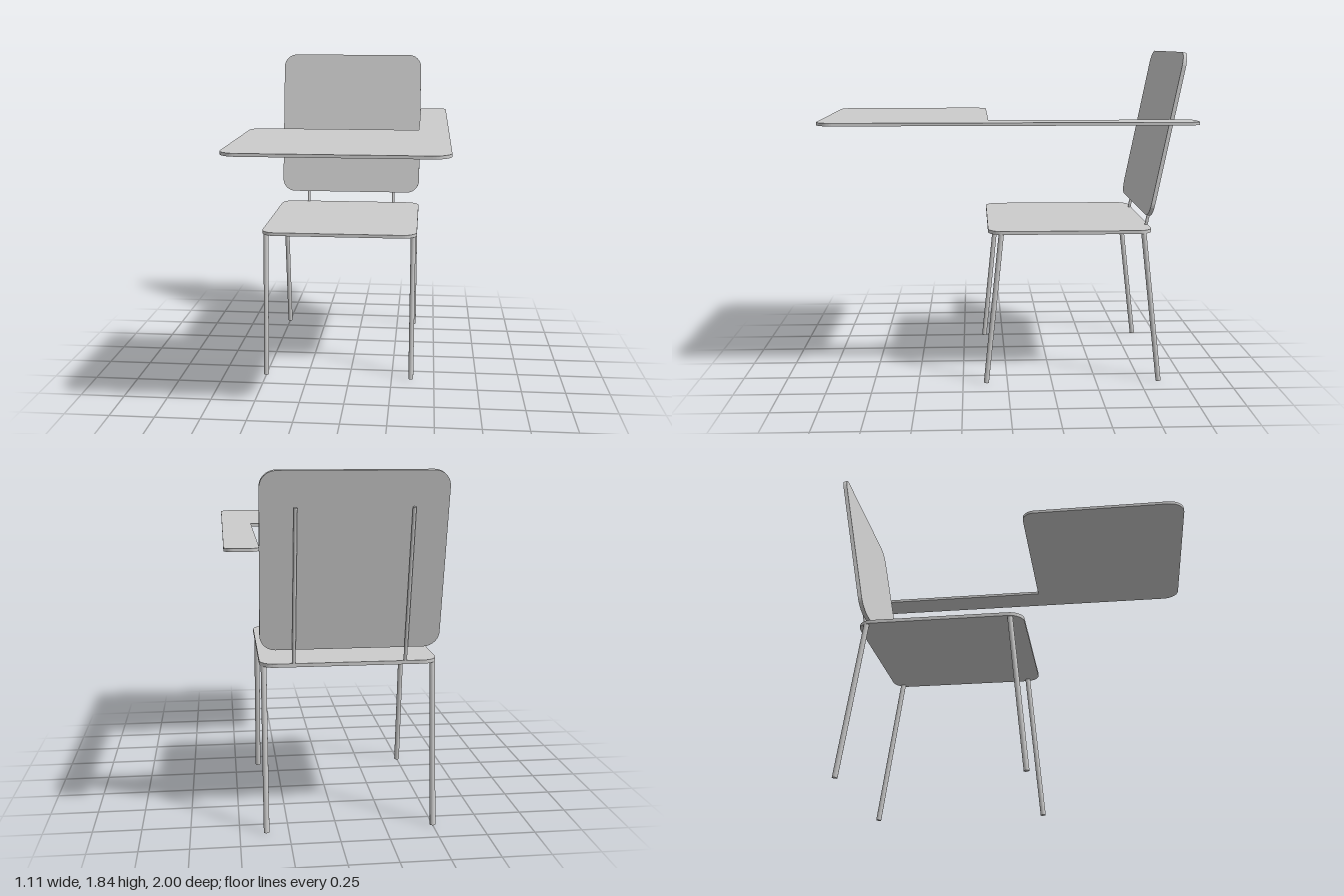
import * as THREE from 'three';

const material = new THREE.MeshStandardMaterial({ color: 0xcccccc });

// Outline from [x, y, cornerRadius] points, counter-clockwise
function roundedOutline(points) {
  const shape = new THREE.Shape();
  const n = points.length;
  points.forEach(([x, y, r], i) => {
    const corner = new THREE.Vector2(x, y);
    const toward = (p) => new THREE.Vector2(p[0], p[1]).sub(corner).setLength(r).add(corner);
    const a = toward(points[(i + n - 1) % n]);
    const b = toward(points[(i + 1) % n]);
    if (i === 0) shape.moveTo(a.x, a.y);
    else shape.lineTo(a.x, a.y);
    if (r > 0) {
      // cubic approximation of a quarter circle
      const c1 = a.clone().lerp(corner, 0.552);
      const c2 = b.clone().lerp(corner, 0.552);
      shape.bezierCurveTo(c1.x, c1.y, c2.x, c2.y, b.x, b.y);
    }
  });
  shape.closePath();
  return shape;
}

// Thin sheet centred on its own plane
function panel(name, points, thickness) {
  const geometry = new THREE.ExtrudeGeometry(roundedOutline(points), {
    depth: thickness, bevelEnabled: false, curveSegments: 10,
  });
  geometry.translate(0, 0, -thickness / 2);
  const mesh = new THREE.Mesh(geometry, material);
  mesh.name = name;
  return mesh;
}

// Round bar between two points
function bar(name, from, to, radius) {
  const a = new THREE.Vector3(...from);
  const b = new THREE.Vector3(...to);
  const dir = b.clone().sub(a);
  const mesh = new THREE.Mesh(new THREE.CylinderGeometry(radius, radius, dir.length(), 20), material);
  mesh.position.copy(a).add(b).multiplyScalar(0.5);
  mesh.quaternion.setFromUnitVectors(new THREE.Vector3(0, 1, 0), dir.normalize());
  mesh.name = name;
  return mesh;
}

export function createModel() {
  const group = new THREE.Group();
  group.name = 'tabletChair';

  const centreX = -0.068; // chair sits off-centre under the desk
  const half = 0.453;
  const r = 0.08;
  const square = [[-half, -half, r], [half, -half, r], [half, half, r], [-half, half, r]];

  // Seat
  const seat = panel('seat', square, 0.019);
  seat.rotation.x = -Math.PI / 2;
  seat.position.set(centreX, 0.863, -0.347);
  group.add(seat);

  // Reclined backrest
  const back = panel('backrest', square, 0.021);
  back.rotation.x = -Math.atan2(0.17, 0.888);
  back.position.set(centreX, 1.388, -0.865);
  group.add(back);

  // Splayed legs and backrest rods
  for (const [side, s] of [['left', 1], ['right', -1]]) {
    const legX = centreX + s * 0.432;
    group.add(bar(side + 'FrontLeg', [legX, 0.001, 0.119], [legX, 0.858, 0.034], 0.0145));
    group.add(bar(side + 'BackLeg', [legX, 0.001, -0.855], [legX, 0.858, -0.75], 0.0145));
    const rodX = centreX + s * 0.283;
    group.add(bar(side + 'BackrestRod', [rodX, 0.862, -0.788], [rodX, 1.658, -0.939], 0.009));
  }

  // L-shaped writing desk with arm; outline y is -z
  const desk = panel('writingDesk', [
    [-0.555, -1, 0.09], [0.553, -1, 0.09], [0.553, 1, 0.045],
    [0.387, 1, 0.045], [0.387, -0.104, 0], [-0.555, -0.104, 0.07],
  ], 0.016);
  desk.rotation.x = -Math.PI / 2;
  desk.position.y = 1.471;
  group.add(desk);

  return group;
}
